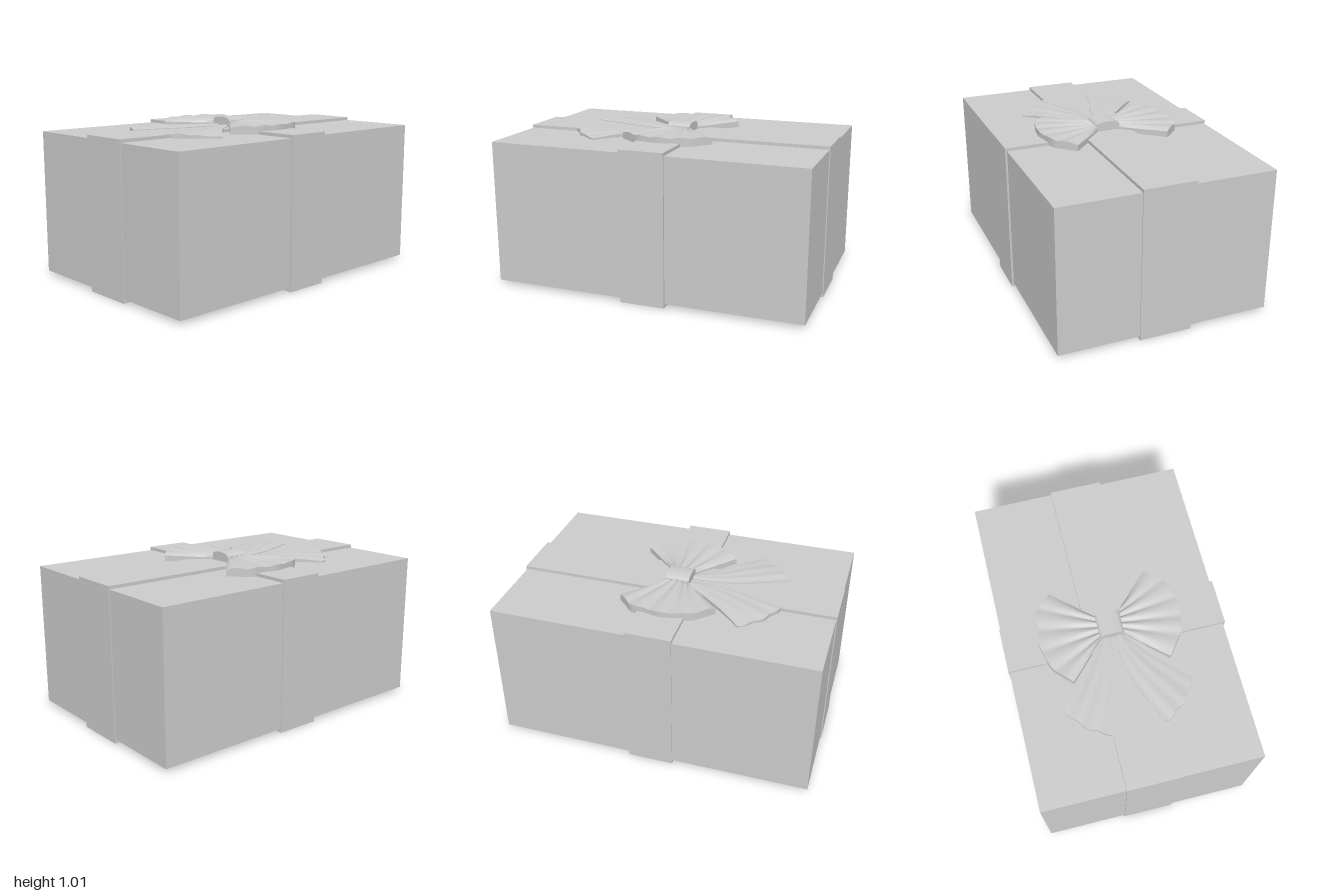
import * as THREE from 'three';

const material = new THREE.MeshStandardMaterial({ color: 0xcccccc, side: THREE.DoubleSide });

function addMesh(parent, name, geometry, x = 0, y = 0, z = 0) {
  const mesh = new THREE.Mesh(geometry, material);
  mesh.name = name;
  mesh.position.set(x, y, z);
  parent.add(mesh);
  return mesh;
}

// Curve through [x, z] pairs
const curve = pts => new THREE.CatmullRomCurve3(
  pts.map(([x, z]) => new THREE.Vector3(x, 0, z)), false, 'centripetal');

// Smooth top sheet point(u, v) with a vertical skirt down to baseY
function slab(point, nu, nv, baseY) {
  const pos = [], index = [];
  for (let j = 0; j <= nv; j++)
    for (let i = 0; i <= nu; i++) pos.push(...point(i / nu, j / nv));
  const id = (i, j) => j * (nu + 1) + i;
  for (let j = 0; j < nv; j++)
    for (let i = 0; i < nu; i++) {
      const a = id(i, j), b = id(i + 1, j), c = id(i + 1, j + 1), d = id(i, j + 1);
      index.push(a, b, c, a, c, d);
    }
  const sides = [
    Array.from({ length: nu + 1 }, (_, i) => id(i, 0)),
    Array.from({ length: nv + 1 }, (_, j) => id(nu, j)),
    Array.from({ length: nu + 1 }, (_, i) => id(nu - i, nv)),
    Array.from({ length: nv + 1 }, (_, j) => id(0, nv - j)),
  ];
  for (const side of sides) {
    const start = pos.length / 3;
    for (const k of side) {
      const [x, y, z] = pos.slice(k * 3, k * 3 + 3);
      pos.push(x, y, z, x, baseY, z);
    }
    for (let k = 0; k < side.length - 1; k++) {
      const t = start + k * 2;
      index.push(t, t + 1, t + 3, t, t + 3, t + 2);
    }
  }
  const g = new THREE.BufferGeometry();
  g.setAttribute('position', new THREE.Float32BufferAttribute(pos, 3));
  g.setIndex(index);
  g.computeVertexNormals();
  return g;
}

// Pleated fan spreading from the knot to a curved outer edge
function bowLoop(inner, outer) {
  const a = curve(inner), b = curve(outer);
  return slab((u, v) => {
    const p = a.getPoint(u).lerp(b.getPoint(u), v);
    const valley = 1 - Math.abs(Math.sin(5 * Math.PI * u));
    const edge = Math.abs(2 * u - 1) ** 6;
    const y = 0.986 - 0.016 * valley * (1 - 0.5 * v) - 0.008 * edge;
    return [p.x, y, p.z];
  }, 40, 10, 0.932);
}

// Flat tail between two edge curves, with a wavy drooping end
function bowTail(first, second) {
  const a = curve(first), b = curve(second);
  return slab((u, v) => {
    const p = a.getPoint(v).lerp(b.getPoint(v), u);
    const bulge = v ** 4 * (0.03 * Math.sin(Math.PI * u) + 0.007 * Math.sin(5 * Math.PI * u));
    const sideX = Math.sign(p.x) * 0.55;
    const round = 0.006 * Math.sin(Math.PI * u);
    const offRibbon = THREE.MathUtils.smoothstep(Math.abs(p.x), 0.16, 0.36);
    const ripple = 0.003 * v * Math.sin(6 * Math.PI * u);
    const y = 0.954 + round + ripple * (1 - offRibbon * 0.5) - 0.014 * offRibbon * v ** 4;
    return [p.x + sideX * bulge, y, p.z + 0.83 * bulge];
  }, 24, 16, 0.931);
}

export function createModel() {
  const model = new THREE.Group();

  // Box body
  addMesh(model, 'box', new THREE.BoxGeometry(1.332, 0.906, 1.988), -0.003, 0.477, 0);

  // Ribbon bands wrapped all the way round
  addMesh(model, 'lengthwiseRibbon', new THREE.BoxGeometry(0.326, 0.95, 2), 0, 0.475, 0);
  addMesh(model, 'crosswiseRibbon', new THREE.BoxGeometry(1.35, 0.95, 0.282), 0, 0.475, -0.002);

  const bow = new THREE.Group();
  bow.name = 'bow';
  model.add(bow);

  // Loops on either side of the knot
  addMesh(bow, 'rightLoop', bowLoop(
    [[-0.085, 0.065], [-0.085, -0.075]],
    [[-0.31, 0.30], [-0.36, 0.25], [-0.42, 0.18], [-0.445, 0.09], [-0.463, 0],
      [-0.445, -0.09], [-0.435, -0.18], [-0.38, -0.24], [-0.33, -0.29]]));
  addMesh(bow, 'leftLoop', bowLoop(
    [[0.05, -0.075], [0.05, 0.065]],
    [[0.272, -0.305], [0.33, -0.25], [0.388, -0.185], [0.41, -0.1], [0.424, -0.02],
      [0.415, 0.06], [0.4, 0.13], [0.345, 0.21], [0.29, 0.28]]));

  // Hanging tails
  addMesh(bow, 'rightTail', bowTail(
    [[-0.035, 0.05], [-0.03, 0.2], [-0.06, 0.35], [-0.105, 0.48], [-0.155, 0.665]],
    [[-0.07, 0.05], [-0.15, 0.16], [-0.23, 0.26], [-0.30, 0.345], [-0.405, 0.455]]));
  addMesh(bow, 'leftTail', bowTail(
    [[0.035, 0.05], [0.115, 0.16], [0.2, 0.26], [0.28, 0.335], [0.39, 0.435]],
    [[0, 0.05], [0, 0.2], [0.03, 0.35], [0.075, 0.48], [0.155, 0.66]]));

  // Knot with a gently domed top
  const profile = new THREE.Shape();
  profile.moveTo(-0.075, 0.945);
  profile.lineTo(0.075, 0.945);
  profile.lineTo(0.075, 0.985);
  profile.quadraticCurveTo(0.07, 1.0, 0.045, 1.004);
  profile.quadraticCurveTo(0, 1.014, -0.045, 1.004);
  profile.quadraticCurveTo(-0.07, 1.0, -0.075, 0.985);
  profile.closePath();
  addMesh(bow, 'knot', new THREE.ExtrudeGeometry(profile,
    { depth: 0.15, bevelEnabled: false, curveSegments: 8 }), -0.018, 0, -0.08);

  return model;
}
